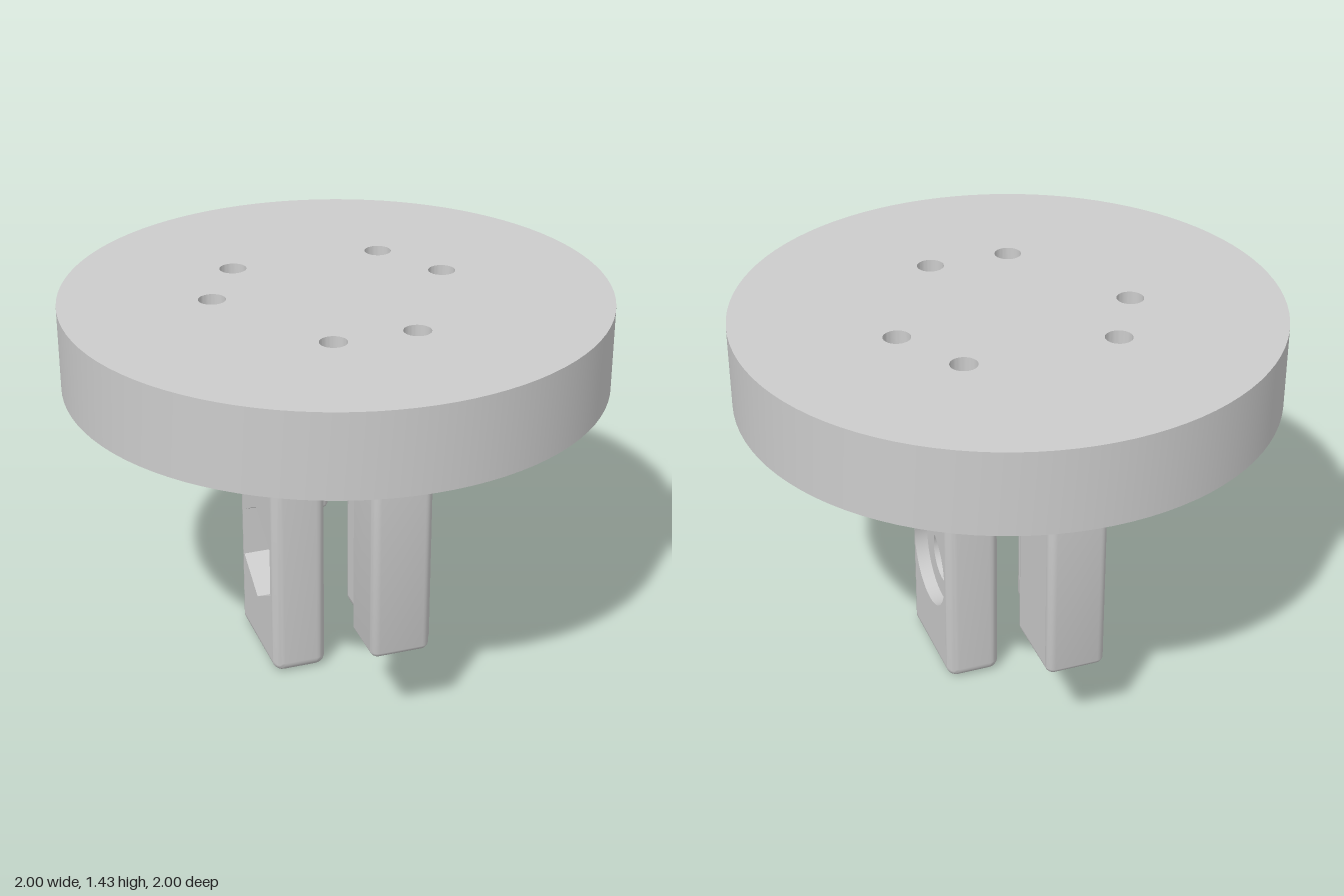
import * as THREE from 'three';
import { toCreasedNormals } from 'three/addons/utils/BufferGeometryUtils.js';

const material = new THREE.MeshStandardMaterial({ color: 0xcccccc });
const TAU = Math.PI * 2, STEPS = 6, SEGS = 48;
const DISC_BOTTOM = 1.115, DISC_TOP = 1.43, FINGER_BOTTOM = 0.32;
const BOLT_R = 0.05, HEAD_R = 0.103, HEAD_TOP = 1.28;
const BOLTS = [[0.285, -0.345], [0.44, -0.08], [0.153, 0.42]].flatMap(([x, z]) => [[x, z], [-x, z]]);

function add(parent, name, geometry) {
  const mesh = new THREE.Mesh(toCreasedNormals(geometry, 0.6), material);
  mesh.name = name;
  parent.add(mesh);
  return mesh;
}

// Surface through rows of points; optionally joins the last column to the first
function loft(rows, closed) {
  const n = rows[0].length, index = [];
  for (let i = 0; i < rows.length - 1; i++) {
    for (let j = 0; j < (closed ? n : n - 1); j++) {
      const k = (j + 1) % n;
      const a = i * n + j, b = i * n + k, c = (i + 1) * n + k, d = (i + 1) * n + j;
      index.push(a, b, c, a, c, d);
    }
  }
  const geometry = new THREE.BufferGeometry();
  geometry.setAttribute('position', new THREE.Float32BufferAttribute(rows.flat(2), 3));
  geometry.setIndex(index);
  return geometry;
}

// Regular polygon with a corner at the top
function polygon(x, y, r, n = SEGS) {
  return Array.from({ length: n }, (_, i) => {
    const a = Math.PI / 2 + (i / n) * TAU;
    return new THREE.Vector2(x + r * Math.cos(a), y + r * Math.sin(a));
  });
}

function flat(outline, holes = []) {
  const shape = new THREE.Shape(outline);
  holes.forEach((h) => shape.holes.push(new THREE.Path(h)));
  return new THREE.ShapeGeometry(shape);
}

// Inward-facing wall of a hole; the profile runs from high to low
function bore(profile, n = SEGS) {
  return new THREE.LatheGeometry(profile.map(([r, y]) => new THREE.Vector2(r, y)), n, Math.PI / 2);
}

// Mounting disc with six counterbored bolt holes
function makeDisc() {
  const disc = new THREE.Group();
  disc.name = 'mountingDisc';
  const rim = new THREE.CylinderGeometry(1, 1, DISC_TOP - DISC_BOTTOM, 96, 1, true);
  add(disc, 'discRim', rim.translate(0, (DISC_TOP + DISC_BOTTOM) / 2, 0));
  const top = flat(polygon(0, 0, 1, 96), BOLTS.map(([x, z]) => polygon(x, -z, BOLT_R)));
  add(disc, 'discTop', top.rotateX(-Math.PI / 2).translate(0, DISC_TOP, 0));
  const bottom = flat(polygon(0, 0, 1, 96), BOLTS.map(([x, z]) => polygon(x, z, HEAD_R)));
  add(disc, 'discUnderside', bottom.rotateX(Math.PI / 2).translate(0, DISC_BOTTOM, 0));
  const profile = [[BOLT_R, DISC_TOP], [BOLT_R, HEAD_TOP], [HEAD_R, HEAD_TOP], [HEAD_R, DISC_BOTTOM]];
  for (const [x, z] of BOLTS) add(disc, 'boltHole', bore(profile).translate(x, 0, z));
  return disc;
}

// Block hanging from the disc, rounded everywhere but its top.
// pin: optional cross hole with a recess of the given number of sides in the +x face
function makeBlock(name, width, depth, y0, r, pin) {
  const block = new THREE.Group();
  block.name = name;
  const hx = width / 2, zi = depth / 2 - r, yi = y0 + r;

  // Rounded rim: a U-shaped path down, along the bottom and up again
  const path = [[DISC_BOTTOM, -zi, Math.PI]];
  for (let i = 0; i <= STEPS; i++) path.push([yi, -zi, Math.PI * (1 + i / STEPS / 2)]);
  for (let i = 0; i <= STEPS; i++) path.push([yi, zi, Math.PI * (1.5 + i / STEPS / 2)]);
  path.push([DISC_BOTTOM, zi, TAU]);
  const section = [];
  for (const side of [-1, 1]) {
    for (let i = 0; i <= STEPS; i++) {
      const t = (side < 0 ? i - STEPS : i) / STEPS * Math.PI / 2;
      section.push([side * (hx - r) + r * Math.sin(t), r * Math.cos(t)]);
    }
  }
  const rows = path.map(([y, z, a]) =>
    section.map(([x, out]) => [x, y + out * Math.sin(a), z + out * Math.cos(a)]));
  add(block, name + 'Rim', loft(rows, false));

  // Flat faces, pierced where there is a cross hole
  const rect = [[-zi, yi], [zi, yi], [zi, DISC_BOTTOM], [-zi, DISC_BOTTOM]].map((p) => new THREE.Vector2(...p));
  const outer = pin ? [polygon(0, pin.y, pin.recessR, pin.sides)] : [];
  const inner = pin ? [polygon(0, pin.y, pin.r)] : [];
  add(block, name + 'OuterFace', flat(rect, outer).rotateY(Math.PI / 2).translate(hx, 0, 0));
  add(block, name + 'InnerFace', flat(rect, inner).rotateY(-Math.PI / 2).translate(-hx, 0, 0));
  if (pin) {
    const floor = hx - pin.depth;
    const along = (g) => g.rotateZ(-Math.PI / 2).translate(0, pin.y, 0);
    add(block, 'recessWall', along(bore([[pin.recessR, hx], [pin.recessR, floor]], pin.sides)));
    add(block, 'recessFloor', flat(outer[0], inner).rotateY(Math.PI / 2).translate(floor, 0, 0));
    add(block, 'pinHole', along(bore([[pin.r, floor], [pin.r, -hx]])));
  }
  return block;
}

// Front finger, scooped on both sides to clear the two front bolt heads
function makeScoopedFinger() {
  const finger = new THREE.Group();
  finger.name = 'frontFinger';
  const hw = 0.11, front = 0.715, back = 0.4, r = 0.03;
  const [bx, bz] = BOLTS[4];
  const outline = (inset) => {
    const half = [];
    for (let i = 0; i <= STEPS; i++) {
      const a = Math.PI / 2 * (1 - i / STEPS);
      half.push([hw - r + (r - inset) * Math.cos(a), front - r + (r - inset) * Math.sin(a)]);
    }
    const a0 = Math.acos((hw - inset - bx) / HEAD_R);
    const a1 = Math.PI - Math.asin((back + inset - bz) / HEAD_R);
    for (let i = 0; i <= 12; i++) {
      const a = a0 + (a1 - a0) * i / 12;
      half.push([bx + HEAD_R * Math.cos(a), bz + HEAD_R * Math.sin(a)]);
    }
    return [...half, ...half.map(([x, z]) => [-x, z]).reverse()];
  };
  const rows = [];
  for (let i = 0; i <= STEPS; i++) {
    const a = i / STEPS * Math.PI / 2;
    const y = FINGER_BOTTOM + r * (1 - Math.cos(a));
    // Quarter-round bottom edge
    const inset = r * (1 - Math.sin(a));
    rows.push(outline(inset).map(([x, z]) => [x, y, z]));
  }
  rows.push(outline(0).map(([x, z]) => [x, DISC_BOTTOM, z]));
  add(finger, 'frontFingerSides', loft(rows, true));
  // Drop the repeated corner points of the innermost outline
  const base = outline(r).filter(([x, z], i, all) =>
    i === 0 || Math.hypot(x - all[i - 1][0], z - all[i - 1][1]) > 1e-6);
  const cap = flat(base.map((p) => new THREE.Vector2(...p)));
  add(finger, 'frontFingerBottom', cap.rotateX(Math.PI / 2).translate(0, FINGER_BOTTOM, 0));
  return finger;
}

export function createModel() {
  const model = new THREE.Group();
  model.name = 'clevisMount';
  model.add(makeDisc());

  // Clevis plates: round recess on +x, hexagonal nut recess on -x
  const pin = { y: 0.415, r: 0.098 };
  const left = makeBlock('leftPlate', 0.205, 0.44, 0, 0.04, { ...pin, recessR: 0.177, sides: SEGS, depth: 0.05 });
  left.position.x = 0.215;
  const right = makeBlock('rightPlate', 0.205, 0.44, 0, 0.04, { ...pin, recessR: 0.195, sides: 6, depth: 0.12 });
  right.position.x = -0.215;
  right.rotation.y = Math.PI;
  model.add(left, right);

  // Stop fingers in front and behind
  const backFinger = makeBlock('backFinger', 0.22, 0.315, FINGER_BOTTOM, 0.03);
  backFinger.position.z = -0.557;
  model.add(backFinger, makeScoopedFinger());
  return model;
}
